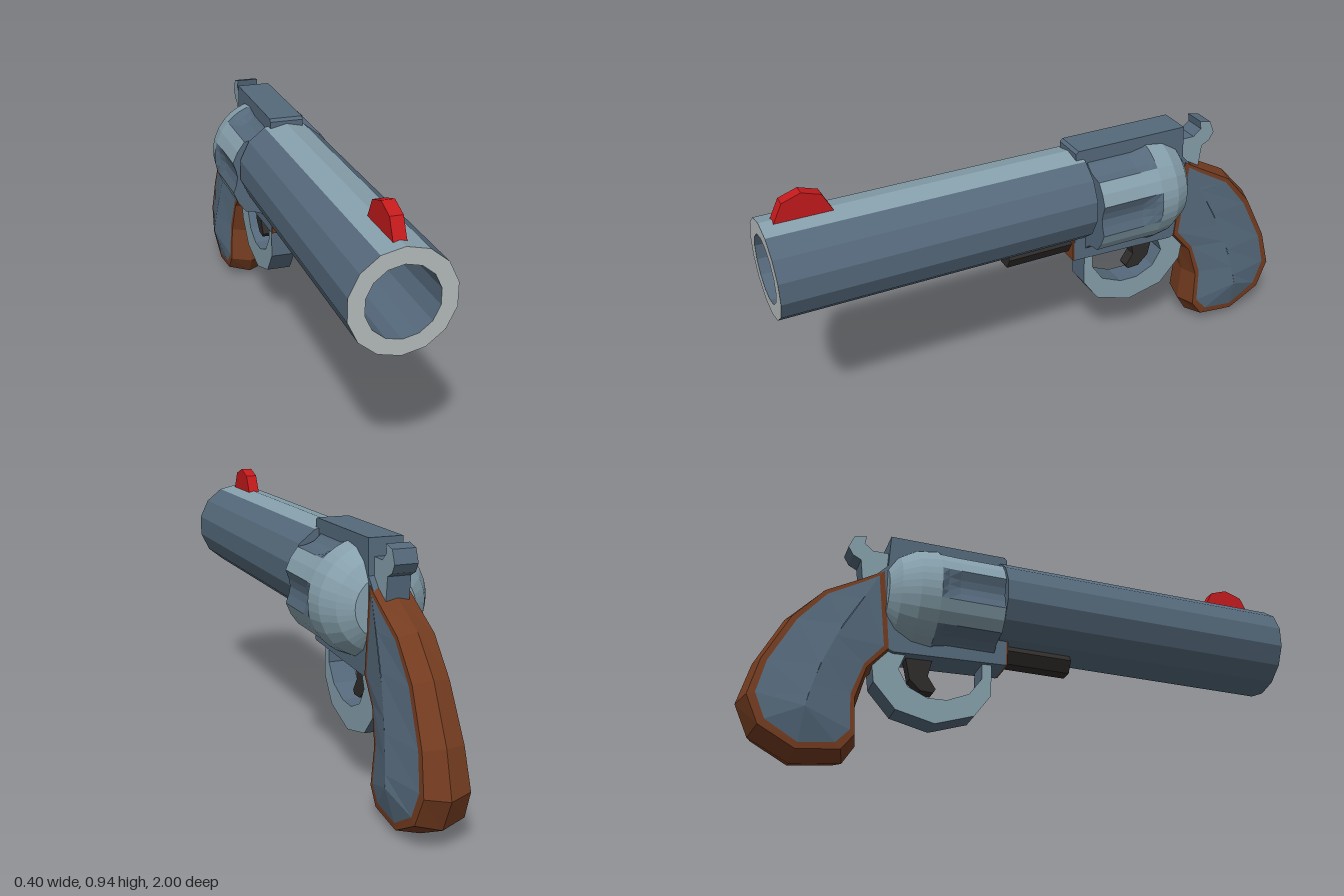
import * as THREE from 'three';

const mat = (name, color, side = THREE.FrontSide) =>
  new THREE.MeshStandardMaterial({ name, color, side, flatShading: true });

export function createModel() {
  const steel = mat('steel', 0x55697b, THREE.DoubleSide);
  const lightSteel = mat('lightSteel', 0x86a0ac);
  const wood = mat('wood', 0x743c20);
  const red = mat('red', 0xc41a1c);
  const muzzleGrey = mat('muzzleGrey', 0xb4baba);
  const dark = mat('dark', 0x2f2c2b);

  const model = new THREE.Group();
  const add = (name, geometry, material, x = 0, y = 0, z = 0) => {
    const mesh = new THREE.Mesh(geometry, material);
    mesh.name = name;
    mesh.position.set(x, y, z);
    model.add(mesh);
    return mesh;
  };

  // Side profile given as [z, y] points, extruded across x
  const plate = (name, points, halfWidth, material) => {
    const shape = new THREE.Shape(points.map(([z, y]) => new THREE.Vector2(z, y)));
    const g = new THREE.ExtrudeGeometry(shape, { depth: halfWidth * 2, bevelEnabled: false });
    g.translate(0, 0, -halfWidth).rotateY(-Math.PI / 2);
    return add(name, g, material);
  };

  // Collects quads and builds a mesh from them
  const fromQuads = (name, quads, material) => {
    const pos = [];
    for (const [a, b, c, d] of quads) pos.push(...a, ...b, ...c, ...a, ...c, ...d);
    const g = new THREE.BufferGeometry();
    g.setAttribute('position', new THREE.Float32BufferAttribute(pos, 3));
    g.computeVertexNormals();
    return add(name, g, material);
  };

  // Barrel: steel tube with a lighter strip along the top
  const SIDES = 14, STEP = (Math.PI * 2) / SIDES, BARREL_Y = 0.69;
  const tube = (r, len, segs, start) =>
    new THREE.CylinderGeometry(r, r, len, segs, 1, true, start, segs * STEP).rotateX(Math.PI / 2);
  add('barrel', tube(0.17, 1.12, 12, Math.PI + STEP), steel, 0, BARREL_Y, 0.44);
  add('barrelTopStrip', tube(0.17, 1.12, 2, Math.PI - STEP), lightSteel, 0, BARREL_Y, 0.44);
  add('muzzleRing', new THREE.RingGeometry(0.117, 0.17, SIDES, 1, Math.PI / 2), muzzleGrey, 0, BARREL_Y, 1);
  add('bore', tube(0.117, 0.6, SIDES, 0), steel, 0, BARREL_Y, 0.7);
  const disc = (r) => new THREE.CircleGeometry(r, SIDES, Math.PI / 2);
  add('boreEnd', disc(0.117), steel, 0, BARREL_Y, 0.4);
  add('barrelRear', disc(0.17), steel, 0, BARREL_Y, -0.12);

  // Front sight
  plate('frontSight', [[0.96, 0.85], [0.925, 0.92], [0.86, 0.942], [0.795, 0.92], [0.76, 0.85]], 0.021, red);

  // Rod below the barrel
  add('ejectorRod', new THREE.CylinderGeometry(0.048, 0.048, 0.28, 6, 1, false, Math.PI / 6).rotateX(Math.PI / 2),
    dark, 0, 0.505, 0.025);

  // Frame and the plate on its lower front
  plate('frame', [[-0.09, 0.87], [-0.1, 0.88], [-0.53, 0.88], [-0.535, 0.76], [-0.59, 0.7],
    [-0.56, 0.45], [-0.5, 0.425], [-0.09, 0.44]], 0.06, steel);
  add('frameFrontPlate', new THREE.BoxGeometry(0.118, 0.11, 0.008), wood, 0, 0.496, -0.088);

  // Fluted drum: rings of [z, radius, flute strength]
  const DRUM_Y = 0.655;
  const rings = [[-0.135, 0.198, 1], [-0.3, 0.198, 1], [-0.345, 0.199, 0.6], [-0.37, 0.2, 0],
    [-0.44, 0.19, 0], [-0.5, 0.155, 0], [-0.535, 0.105, 0], [-0.535, 0, 0]];
  const sector = [[-30, 0], [-17, 0], [-8.5, 0.018], [0, 0.025], [8.5, 0.018], [17, 0]];
  const drumPoint = ([z, r, k], j) => {
    const [deg, depth] = sector[j % 6];
    const a = THREE.MathUtils.degToRad(deg + 60 * Math.floor(j / 6));
    const rr = r - depth * k;
    return [rr * Math.cos(a), DRUM_Y + rr * Math.sin(a), z];
  };
  const drumBody = [], drumFlutes = [], drumFront = [];
  for (let j = 0; j < 36; j++) {
    for (let i = 0; i < rings.length - 1; i++) {
      const inFlute = i < 3 && j % 6 >= 1 && j % 6 <= 4;
      (inFlute ? drumFlutes : drumBody).push([drumPoint(rings[i], j), drumPoint(rings[i + 1], j),
        drumPoint(rings[i + 1], j + 1), drumPoint(rings[i], j + 1)]);
    }
    const hub = [0, DRUM_Y, rings[0][0]];
    drumFront.push([hub, drumPoint(rings[0], j), drumPoint(rings[0], j + 1), hub]);
  }
  fromQuads('drum', drumBody, lightSteel);
  fromQuads('drumFlutes', drumFlutes, steel);
  fromQuads('drumFront', drumFront, steel);

  // Trigger guard, trigger and hammer
  plate('triggerGuard', [[-0.14, 0.44], [-0.14, 0.32], [-0.2, 0.235], [-0.34, 0.187], [-0.48, 0.22],
    [-0.56, 0.31], [-0.57, 0.38], [-0.52, 0.44], [-0.45, 0.44], [-0.475, 0.37], [-0.44, 0.31], [-0.37, 0.278],
    [-0.3, 0.28], [-0.22, 0.315], [-0.175, 0.38], [-0.175, 0.44]], 0.045, [lightSteel, steel]);
  plate('trigger', [[-0.35, 0.44], [-0.365, 0.37], [-0.335, 0.325], [-0.345, 0.31], [-0.39, 0.312],
    [-0.43, 0.35], [-0.45, 0.44]], 0.022, dark);
  plate('hammer', [[-0.51, 0.82], [-0.59, 0.82], [-0.62, 0.845], [-0.615, 0.875], [-0.66, 0.865],
    [-0.678, 0.82], [-0.66, 0.79], [-0.63, 0.775], [-0.62, 0.69], [-0.51, 0.72]], 0.04, [lightSteel, steel]);

  // Grip: bevelled wooden rim around a bulging steel panel, as [z, y] loops
  const outer = [[-0.53, 0.755], [-0.62, 0.705], [-0.76, 0.63], [-0.87, 0.51], [-0.96, 0.33], [-1, 0.18],
    [-0.95, 0.07], [-0.81, 0], [-0.64, 0.02], [-0.6, 0.085], [-0.61, 0.22], [-0.58, 0.34], [-0.5, 0.43]];
  const inner = [[-0.565, 0.71], [-0.62, 0.675], [-0.74, 0.605], [-0.835, 0.49], [-0.92, 0.32], [-0.947, 0.2],
    [-0.91, 0.11], [-0.8, 0.045], [-0.68, 0.06], [-0.635, 0.11], [-0.64, 0.24], [-0.6, 0.36], [-0.535, 0.44]];
  const { lerp, clamp, mapLinear } = THREE.MathUtils;
  const rimX = (y) => mapLinear(clamp(y, 0.08, 0.45), 0.08, 0.45, 0.084, 0.062);
  const spinePoint = (y) => {
    const t = (clamp(y, 0.16, 0.62) - 0.16) / 0.46;
    return [lerp(0.115, 0.07, t), lerp(0.16, 0.62, t), lerp(-0.79, -0.61, t) - 0.2 * t * (1 - t) * 0.5];
  };
  const n = outer.length;
  const loops = [
    outer.map(([z, y]) => [0, y, z]),
    outer.map(([z, y], i) => {
      const yy = lerp(y, inner[i][1], 0.5);
      return [rimX(yy), yy, lerp(z, inner[i][0], 0.5)];
    }),
    inner.map(([z, y]) => [rimX(y) + 0.002, y, z]),
    inner.map(([, y]) => spinePoint(y)),
  ];
  const rimQuads = [], panelQuads = [];
  for (const side of [1, -1]) {
    for (let k = 0; k < 3; k++) {
      for (let i = 0; i < n; i++) {
        const j = (i + 1) % n;
        const quad = [loops[k][i], loops[k][j], loops[k + 1][j], loops[k + 1][i]]
          .map(([x, y, z]) => [x * side, y, z]);
        if (side < 0) quad.reverse();
        (k < 2 ? rimQuads : panelQuads).push(quad);
      }
    }
  }
  // The outline runs clockwise seen from +x, so flip every quad outward
  const flip = (quads) => quads.map((q) => [...q].reverse());
  fromQuads('gripRim', flip(rimQuads), wood);
  fromQuads('gripPanels', flip(panelQuads), steel);

  return model;
}
